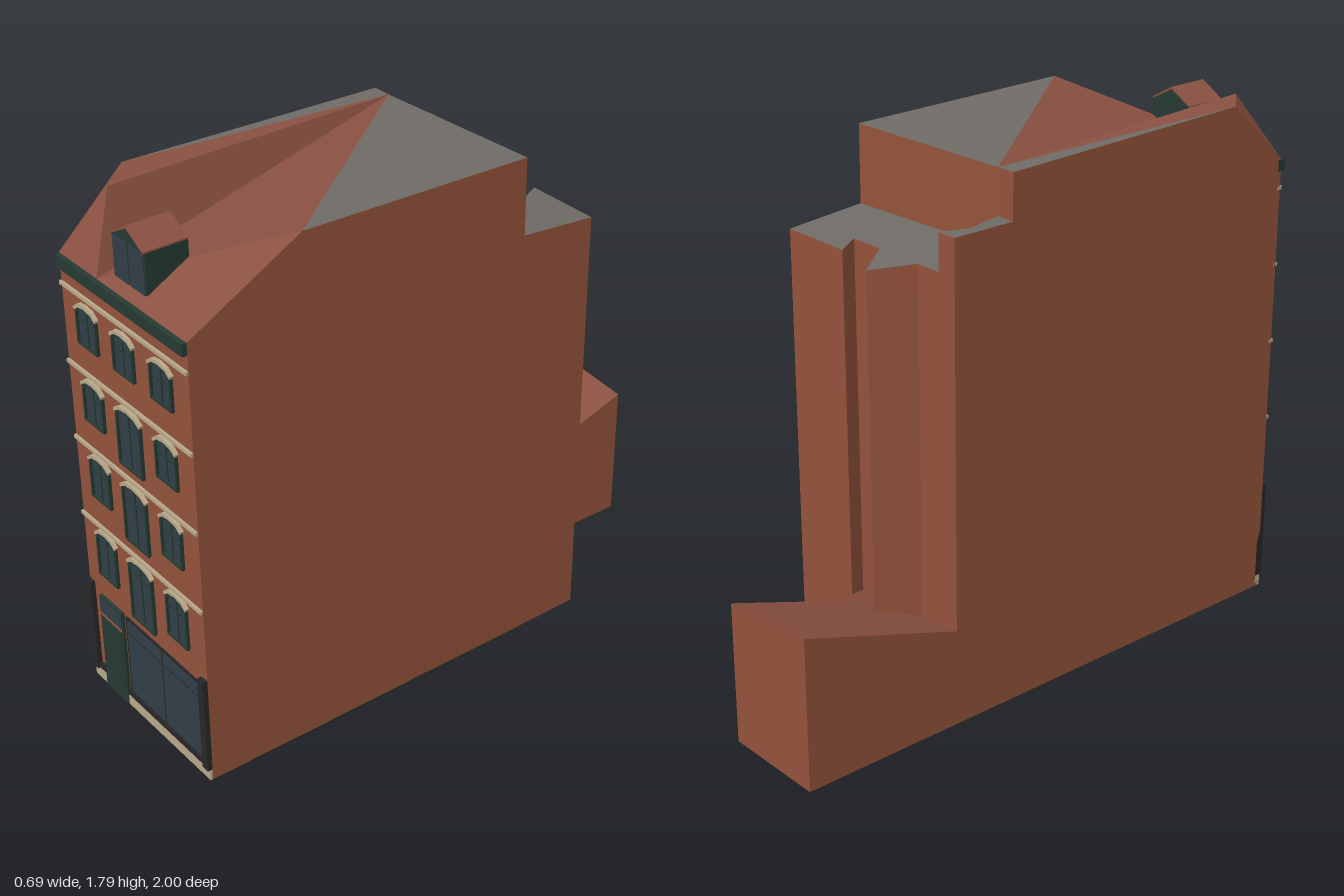
import * as THREE from 'three';

const mat = (color) => new THREE.MeshStandardMaterial({ color, flatShading: true, side: THREE.DoubleSide });
const FRONT = 0.983;

export function createModel() {
  const brick = mat(0x94533b), tile = mat(0x8a5142), grey = mat(0x6f6b67), cream = mat(0xb8a88a),
    green = mat(0x263a33), glass = mat(0x303d47), dark = mat(0x272727);
  const model = new THREE.Group();

  const add = (name, geometry, material, parent = model) => {
    const mesh = new THREE.Mesh(geometry, material);
    mesh.name = name;
    parent.add(mesh);
    return mesh;
  };
  const box = (name, x0, x1, y0, y1, z0, z1, material, parent) => {
    const g = new THREE.BoxGeometry(x1 - x0, y1 - y0, z1 - z0);
    g.translate((x0 + x1) / 2, (y0 + y1) / 2, (z0 + z1) / 2);
    return add(name, g, material, parent);
  };
  const fromTriangles = (tris) => {
    const g = new THREE.BufferGeometry();
    g.setAttribute('position', new THREE.Float32BufferAttribute(tris.flat(2), 3));
    g.computeVertexNormals();
    return g;
  };
  // Vertical faces along a path of [x, z, top, bottom]
  const walls = (name, path, material) => {
    const tris = [];
    for (let i = 0; i + 1 < path.length; i++) {
      const [ax, az, at, ab = 0] = path[i], [bx, bz, bt, bb = 0] = path[i + 1];
      if (ax === bx && az === bz) continue;
      const p = [ax, ab, az], q = [bx, bb, bz], r = [bx, bt, bz], s = [ax, at, az];
      tris.push([p, q, r], [p, r, s]);
    }
    return add(name, fromTriangles(tris), material);
  };
  // Flat or sloping polygon over an [x, z] outline
  const slab = (name, outline, height, material, up = true) => {
    const flat = outline.map(([x, z]) => new THREE.Vector2(x, -z));
    const tris = THREE.ShapeUtils.triangulateShape(flat, []).map((f) => {
      const [a, b, c] = f.map((i) => flat[i]);
      const ccw = (b.x - a.x) * (c.y - a.y) - (b.y - a.y) * (c.x - a.x) > 0;
      return (ccw === up ? f : [f[0], f[2], f[1]]).map((i) => [outline[i][0], height(...outline[i]), outline[i][1]]);
    });
    return add(name, fromTriangles(tris), material);
  };
  const extrude = (name, shape, depth, z, material, parent) => {
    const g = new THREE.ExtrudeGeometry(shape, { depth, bevelEnabled: false });
    g.translate(0, 0, z);
    return add(name, g, material, parent);
  };

  // Main body
  const lowY = (x, z) => 1.515 + (z + 0.22) * 0.09;
  const rear = [[0.345, -0.5], [0.08, -0.5], [0.125, -0.42], [0, -0.42], [-0.1, -0.55], [-0.18, -0.42], [-0.275, -0.42]];
  walls('bodyWalls', [
    [-0.347, FRONT, 1.575], [0.32, FRONT, 1.575], [0.325, 0.59, 1.79], [0.342, -0.225, 1.775],
    [0.342, -0.225, lowY(0, -0.225)], ...rear.map(([x, z]) => [x, z, lowY(x, z)]),
    [-0.275, -0.42, 1.62], [-0.347, -0.42, 1.62], [-0.347, -0.195, 1.62],
    [-0.347, -0.195, 1.77], [-0.347, 0.75, 1.795], [-0.347, FRONT, 1.575],
  ], brick);
  walls('rearStepWall', [[0.342, -0.225, 1.775, 1.5], [-0.28, -0.195, 1.77, 1.5], [-0.347, -0.195, 1.77, 1.5]], brick);
  slab('lowerRearRoof', [[0.342, -0.225], ...rear, [-0.31, -0.33], [-0.28, -0.195]], lowY, grey);

  // Raised strip beside the lower roof
  const strip = [[-0.28, -0.195], [-0.31, -0.33], [-0.275, -0.42]];
  walls('raisedStripWall', strip.map(([x, z]) => [x, z, 1.62, 1.49]), brick);
  slab('raisedStripRoof', [...strip, [-0.347, -0.42], [-0.347, -0.195]], () => 1.62, grey);

  // Faceted upper roof
  const apex = [-0.28, 1.77, -0.195], valley = [-0.14, 1.575, FRONT], peak = [-0.24, 1.795, 0.865],
    leftTop = [-0.347, 1.795, 0.75], leftEave = [-0.347, 1.575, FRONT], leftRear = [-0.347, 1.77, -0.195],
    rightTop = [0.325, 1.79, 0.59], rightEave = [0.32, 1.575, FRONT], rightRear = [0.342, 1.775, -0.225];
  add('flatRoof', fromTriangles([[apex, rightTop, rightRear], [apex, leftRear, leftTop]]), grey);
  add('slopingRoof', fromTriangles([
    [apex, valley, rightTop], [valley, rightEave, rightTop], [apex, peak, valley], [apex, leftTop, peak],
    [leftEave, valley, peak], [leftEave, peak, leftTop],
  ]), tile);

  // Low rear extension
  const extY = (x, z) => 0.325 + 0.33 * (-z - 0.5) + 0.1 * (0.01 - x);
  const ext = [[0.08, -0.5], [0.01, -0.5], [0.025, -1], [-0.347, -1], [-0.347, -0.42]];
  walls('extensionWalls', ext.map(([x, z]) => [x, z, extY(x, z)]), brick);
  slab('extensionRoof', [...ext, [0.125, -0.42]], extY, tile);
  slab('underside', [[-0.347, FRONT], [0.32, FRONT], [0.345, -0.5], ...ext.slice(1, 4)], () => 0, brick, false);

  // Dormer
  const dormer = new THREE.Group();
  dormer.name = 'dormer';
  model.add(dormer);
  const cx = -0.015, half = 0.085;
  const gable = new THREE.Shape([[-0.1, 1.58], [0.07, 1.58], [0.07, 1.73], [cx, 1.775], [-0.1, 1.73]]
    .map((p) => new THREE.Vector2(...p)));
  extrude('dormerBody', gable, 0.145, 0.8, green, dormer);
  for (const s of [-1, 1]) {
    const pitch = new THREE.Shape([[cx, 1.776], [cx + s * half, 1.729], [cx + s * half, 1.735], [cx, 1.784]]
      .map((p) => new THREE.Vector2(...p)));
    extrude('dormerRoof', pitch, 0.15, 0.8, tile, dormer);
    box('dormerPane', cx + s * 0.041 - 0.037, cx + s * 0.041 + 0.037, 1.59, 1.725, 0.94, 0.948, glass, dormer);
  }

  // Cornice and string courses
  box('cornice', -0.347, 0.32, 1.535, 1.575, 0.97, 1, green);
  for (const y of [1.478, 1.21, 0.937, 0.652]) box('stringCourse', -0.347, 0.32, y - 0.006, y + 0.006, 0.97, 0.992, cream);

  // Arched windows
  const arch = (w, y1, rise) => [[-0.5, -1], [-0.3, -0.25], [0, 0], [0.3, -0.25], [0.5, -1]]
    .map(([u, v]) => new THREE.Vector2(u * w, y1 + v * rise));
  const pane = (w, y0, y1) => new THREE.Shape([
    new THREE.Vector2(w / 2, y0), new THREE.Vector2(-w / 2, y0), ...arch(w, y1, 0.022)]);
  const archWindow = (x, w, y0, y1) => {
    const win = new THREE.Group();
    win.name = 'window';
    win.position.x = x;
    model.add(win);
    const frame = pane(w, y0, y1);
    frame.holes.push(pane(w - 0.014, y0 + 0.007, y1 - 0.007));
    extrude('windowFrame', frame, 0.014, 0.98, green, win);
    extrude('windowGlass', pane(w - 0.01, y0 + 0.004, y1 - 0.004), 0.006, 0.98, glass, win);
    const bar = y1 - 0.055;
    box('windowMullion', -0.003, 0.003, y0, y1 - 0.006, 0.98, 0.989, green, win);
    box('windowTransom', -w / 2, w / 2, bar - 0.003, bar + 0.003, 0.98, 0.989, green, win);
    const trim = new THREE.Shape([...arch(w + 0.012, y1 + 0.012, 0.024), ...arch(w + 0.004, y1, 0.022).reverse()]);
    extrude('windowArch', trim, 0.016, 0.98, cream, win);
  };
  const floors = [[1.31, 1.31, 1.445, 0.11], [1.04, 0.98, 1.185, 0.13], [0.76, 0.7, 0.915, 0.13], [0.46, 0.4, 0.632, 0.13]];
  for (const [side, middle, top, w] of floors) {
    for (const x of [-0.21, 0.182]) archWindow(x, 0.11, side, top);
    archWindow(-0.015, w, middle, top);
  }

  // Ground floor shopfront
  box('plinth', -0.347, 0.32, 0, 0.04, 0.97, 0.992, cream);
  box('shopSill', -0.347, 0.32, 0.04, 0.062, 0.97, 0.992, dark);
  for (const x of [-0.347, 0.29]) box('pilaster', x, x + 0.03, 0.04, 0.392, 0.97, 1, dark);
  box('shopFrame', -0.133, 0.29, 0.055, 0.364, 0.97, 0.988, dark);
  for (const [x0, x1] of [[-0.122, 0.072], [0.08, 0.28]])
    for (const [y0, y1] of [[0.068, 0.3], [0.308, 0.354]]) box('shopGlass', x0, x1, y0, y1, 0.98, 0.99, glass);
  box('door', -0.276, -0.145, 0, 0.367, 0.97, 0.995, green);
  box('doorPanel', -0.262, -0.159, 0.03, 0.285, 0.98, 0.997, green);
  box('doorRail', -0.276, -0.145, 0.295, 0.301, 0.98, 0.998, brick);
  box('doorFanlight', -0.27, -0.151, 0.305, 0.36, 0.98, 0.997, glass);

  return model;
}
